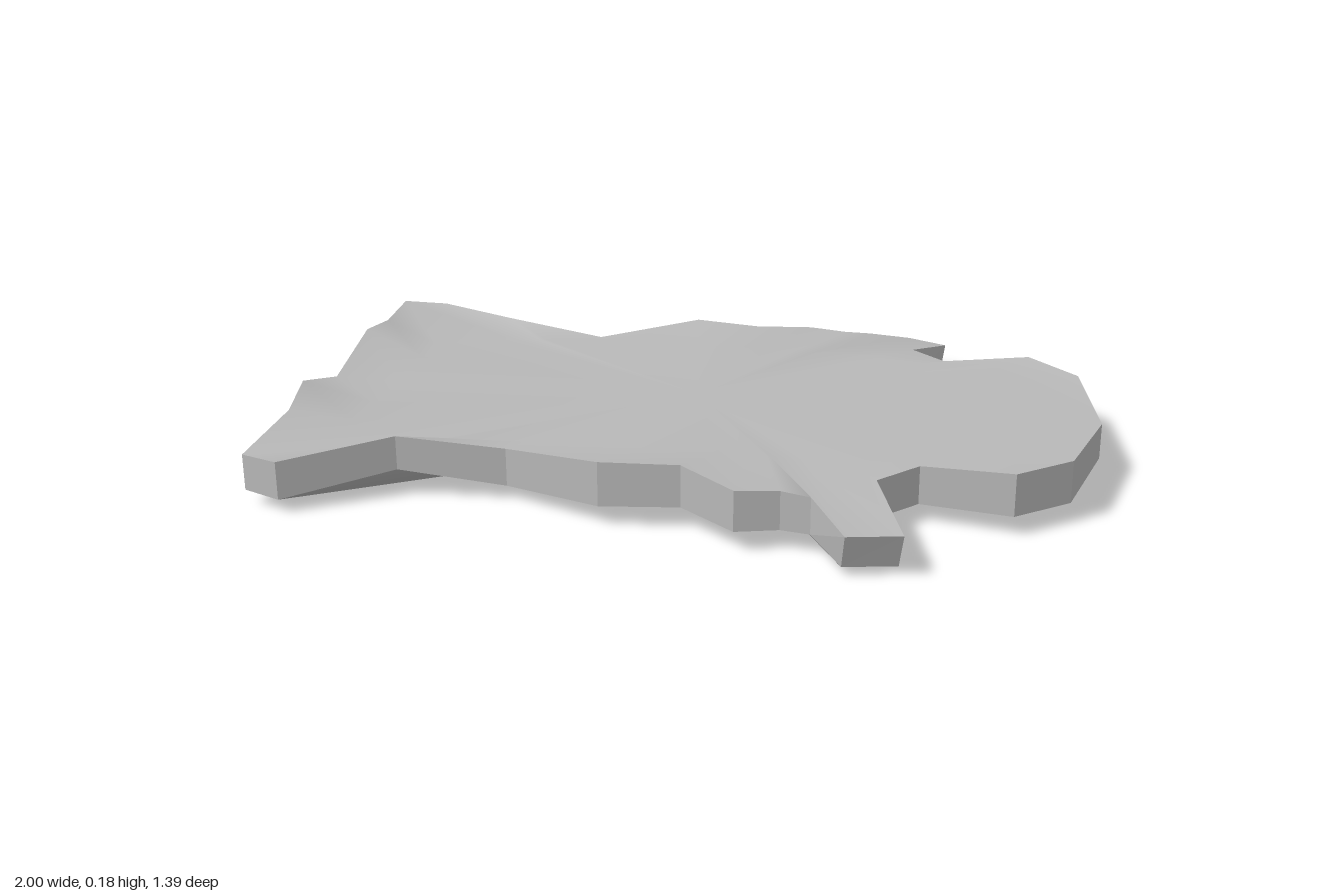
import * as THREE from 'three';

// Outline of the hide, clockwise seen from above: x, z, top height, thickness
const OUTLINE = [
  [-1, -0.61, 0.135, 0.095], [-0.88, -0.625, 0.13, 0.095], [-0.64, -0.475, 0.15, 0.09],
  [-0.36, -0.42, 0.13, 0.095], [-0.11, -0.55, 0.155, 0.1], [0.06, -0.525, 0.155, 0.1],
  [0.2, -0.62, 0.13, 0.095], [0.3, -0.585, 0.135, 0.095], [0.37, -0.57, 0.14, 0.095],
  [0.47, -0.7, 0.09, 0.085], [0.575, -0.67, 0.085, 0.085], [0.5, -0.47, 0.135, 0.095],
  [0.59, -0.38, 0.14, 0.095], [0.81, -0.415, 0.155, 0.105], [0.94, -0.305, 0.15, 0.1],
  [1, 0, 0.14, 0.09],
  [0.935, 0.285, 0.155, 0.105], [0.81, 0.39, 0.155, 0.105], [0.59, 0.35, 0.14, 0.095],
  [0.5, 0.44, 0.135, 0.095], [0.585, 0.66, 0.105, 0.085], [0.46, 0.69, 0.105, 0.085],
  [0.37, 0.575, 0.14, 0.09], [0.3, 0.565, 0.145, 0.095], [0.2, 0.595, 0.15, 0.1],
  [0.06, 0.5, 0.16, 0.105], [-0.13, 0.52, 0.16, 0.11], [-0.38, 0.415, 0.13, 0.095],
  [-0.64, 0.45, 0.155, 0.085], [-0.88, 0.6, 0.13, 0.095], [-0.98, 0.56, 0.125, 0.09],
  [-0.95, 0.35, 0.16, 0.095], [-0.975, 0.2, 0.18, 0.095], [-0.97, 0, 0.12, 0.095],
  [-0.97, -0.23, 0.175, 0.095], [-0.96, -0.36, 0.16, 0.095],
];
const N = OUTLINE.length;

// Nearly flat middle of the hide, dipping a little towards the tail end
const middleHeight = (x) => 0.143 + 0.03 * Math.min(0, x);

function makeGeometry(positions, index) {
  const g = new THREE.BufferGeometry();
  g.setAttribute('position', new THREE.Float32BufferAttribute(positions, 3));
  if (index) g.setIndex(index);
  g.computeVertexNormals();
  return g;
}

// Outline corner on the upper or lower rim; the limb tips lean inwards below
function rim(i, lower) {
  const [x, z, y, t] = OUTLINE[i % N];
  const lean = lower && Math.abs(z) > 0.65 ? 0.96 : 1;
  return [x * (lean < 1 ? 0.98 : 1), lower ? y - t : y, z * lean];
}

// One face of the hide: rim, inner ring and centre, smoothly shaded
function makeSheet(lower) {
  const positions = [], index = [];
  const drop = lower ? 0.095 : 0;
  for (let i = 0; i < N; i++) positions.push(...rim(i, lower));
  for (let i = 0; i < N; i++) {
    const [x, z] = OUTLINE[i];
    const s = Math.min(0.9, 0.8 / Math.abs(x), 0.37 / Math.max(0.01, Math.abs(z)));
    positions.push(x * s, middleHeight(x * s) - drop, z * s);
  }
  positions.push(0, middleHeight(0) - drop, 0);
  const tri = (a, b, c) => index.push(...(lower ? [a, c, b] : [a, b, c]));
  for (let i = 0; i < N; i++) {
    const j = (i + 1) % N;
    tri(i, N + i, j);
    tri(j, N + i, N + j);
    tri(2 * N, N + j, N + i);
  }
  return makeGeometry(positions, index);
}

// Cut edge running round the outline, one flat facet per side
function makeEdge() {
  const positions = [];
  for (let i = 0; i < N; i++) {
    const a = rim(i, false), b = rim(i + 1, false);
    const c = rim(i + 1, true), d = rim(i, true);
    positions.push(...a, ...b, ...c, ...a, ...c, ...d);
  }
  return makeGeometry(positions);
}

export function createModel() {
  const group = new THREE.Group();
  group.name = 'hideRug';
  const grey = new THREE.MeshStandardMaterial({ color: 0xb8b8b8 });
  grey.name = 'hide grey';
  const add = (name, geometry) => {
    const mesh = new THREE.Mesh(geometry, grey);
    mesh.name = name;
    group.add(mesh);
  };
  add('hideTop', makeSheet(false));
  add('hideUnderside', makeSheet(true));
  add('hideEdge', makeEdge());
  return group;
}
